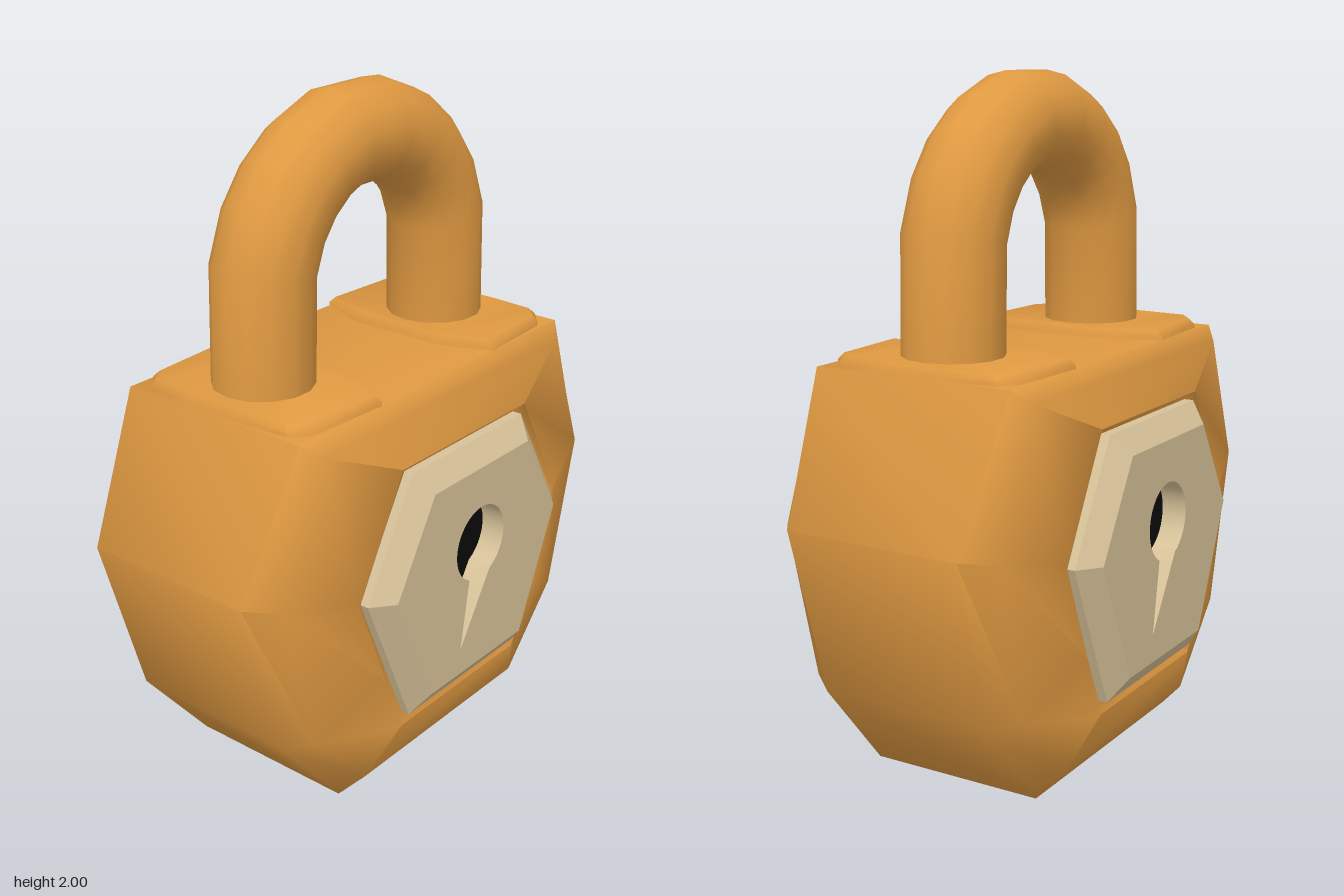
import * as THREE from 'three';
import { toCreasedNormals } from 'three/addons/utils/BufferGeometryUtils.js';

const mat = (name, color, extra = {}) => {
  const m = new THREE.MeshStandardMaterial({ color, ...extra });
  m.name = name;
  return m;
};

const mesh = (name, geometry, material) => {
  const m = new THREE.Mesh(geometry, material);
  m.name = name;
  return m;
};

// Skin a list of equal-length rings of [x, y, z]; rings run counter-clockwise about the direction of travel
function loft(rings, { caps = true, crease = 1 } = {}) {
  const n = rings[0].length;
  const pos = rings.flat(2);
  const index = [];
  for (let i = 0; i < rings.length - 1; i++) {
    for (let j = 0; j < n; j++) {
      const k = (j + 1) % n;
      const a = i * n + j, b = i * n + k, c = a + n, d = b + n;
      index.push(a, b, d, a, d, c);
    }
  }
  if (caps) {
    const last = (rings.length - 1) * n;
    for (let j = 1; j < n - 1; j++) {
      index.push(0, j + 1, j, last, last + j, last + j + 1);
    }
  }
  const g = new THREE.BufferGeometry();
  g.setAttribute('position', new THREE.Float32BufferAttribute(pos, 3));
  g.setIndex(index);
  return toCreasedNormals(g, crease);
}

// Complete a right-hand outline (bottom to top) with its mirror image
const mirrored = (half) => [...half, ...half.map(([x, ...r]) => [-x, ...r]).reverse()];

function bodyGeometry() {
  const wide = [[0.4, 0, 0.27], [0.64, 0.29, 0.27], [0.79, 0.8, 0.27], [0.595, 1.21, 0.31]];
  const bevel = [[0.37, 0.08, 0.345], [0.585, 0.31, 0.345], [0.7, 0.78, 0.345], [0.545, 1.17, 0.35]];
  const rim = [[0.28, 0.24, 0.41], [0.36, 0.43, 0.41], [0.475, 0.72, 0.41], [0.29, 1.06, 0.41]];
  const seat = rim.map(([x, y]) => [x * 0.95, 0.69 + (y - 0.69) * 0.95, 0.39]);
  const front = [wide, bevel, rim, seat].map(mirrored);
  const back = front.map((r) => r.map(([x, y, z]) => [x, y, -z])).reverse();
  return loft([...back, ...front], { crease: 1.02 });
}

// Raised pad around a shackle leg
function padGeometry(side) {
  const half = [[0.2, 0.15], [0.26, 0.31], [0.52, 0.295], [0.575, 0.25], [0.585, 0.1]];
  let outline = [...half.map(([x, z]) => [x, -z]), ...half.map(([x, z]) => [x, z]).reverse()];
  if (side < 0) outline = outline.map(([x, z]) => [-x, z]).reverse();
  const ring = (s, h) => outline.map(([x, z]) => [side * 0.39 + (x - side * 0.39) * s, z * s, h]);
  return loft([ring(1.02, 1.17), ring(1, 1.222), ring(0.94, 1.24)], { crease: 0.9 }).rotateX(-Math.PI / 2);
}

function shackleGeometry() {
  const sides = 14, R = 0.39, r = 0.145, cy = 1.475;
  const ring = (cx, y, nx, ny) => Array.from({ length: sides }, (_, i) => {
    const a = (i / sides) * Math.PI * 2;
    const u = r * Math.cos(a);
    return [cx + u * nx, y + u * ny, -r * Math.sin(a)];
  });
  const arc = [78, 60, 45, 30, 12, -12, -30, -45, -60, -78].map((deg) => {
    const t = THREE.MathUtils.degToRad(deg);
    const s = Math.sin(t), c = Math.cos(t);
    return ring(R * s, cy + R * c, s, c);
  });
  return loft([ring(R, 1.15, 1, 0), ...arc, ring(-R, 1.15, -1, 0)], { crease: 1.2 });
}

function traceKeyhole(path, grow = 0) {
  const a = 1.121;
  path.moveTo(0.085 + grow, 0.42 - grow);
  path.absarc(0, 0.74, 0.115 + grow, -a, Math.PI + a, false);
  path.lineTo(-0.085 - grow, 0.42 - grow);
  path.closePath();
  return path;
}

// Hexagonal plate with sloped rim and a keyhole cut through to a dark backing
function lockPlate(name, metal, dark) {
  const g = new THREE.Group();
  g.name = name;
  const outer = mirrored([[0.26, 0.27], [0.45, 0.71], [0.26, 1.04]]);
  const inner = mirrored([[0.225, 0.34], [0.385, 0.71], [0.225, 0.98]]);
  const at = (pts, z) => pts.map(([x, y]) => [x, y, z]);
  g.add(mesh('plateRim', loft([at(outer, 0.385), at(outer, 0.418), at(inner, 0.47)], { caps: false, crease: 0.5 }), metal));

  const face = new THREE.Shape(inner.map(([x, y]) => new THREE.Vector2(x, y)));
  face.holes.push(traceKeyhole(new THREE.Path()));
  const faceGeo = new THREE.ExtrudeGeometry(face, { depth: 0.08, bevelEnabled: false, curveSegments: 20 });
  g.add(mesh('plateFace', toCreasedNormals(faceGeo.translate(0, 0, 0.39), 0.6), metal));

  const hole = new THREE.ShapeGeometry(traceKeyhole(new THREE.Shape(), 0.01), 20);
  g.add(mesh('keyhole', hole.translate(0, 0, 0.396), dark));
  return g;
}

export function createModel() {
  const orange = mat('orange', 0xdf9941);
  const beige = mat('beige', 0xd6c198);
  const black = mat('black', 0x0a0a0a);

  const model = new THREE.Group();
  model.name = 'padlock';
  model.add(mesh('body', bodyGeometry(), orange));
  model.add(mesh('leftPad', padGeometry(1), orange));
  model.add(mesh('rightPad', padGeometry(-1), orange));
  model.add(mesh('shackle', shackleGeometry(), orange));

  // Matching plates front and back
  const back = lockPlate('backPlate', beige, black);
  back.rotation.y = Math.PI;
  model.add(lockPlate('frontPlate', beige, black), back);
  return model;
}
